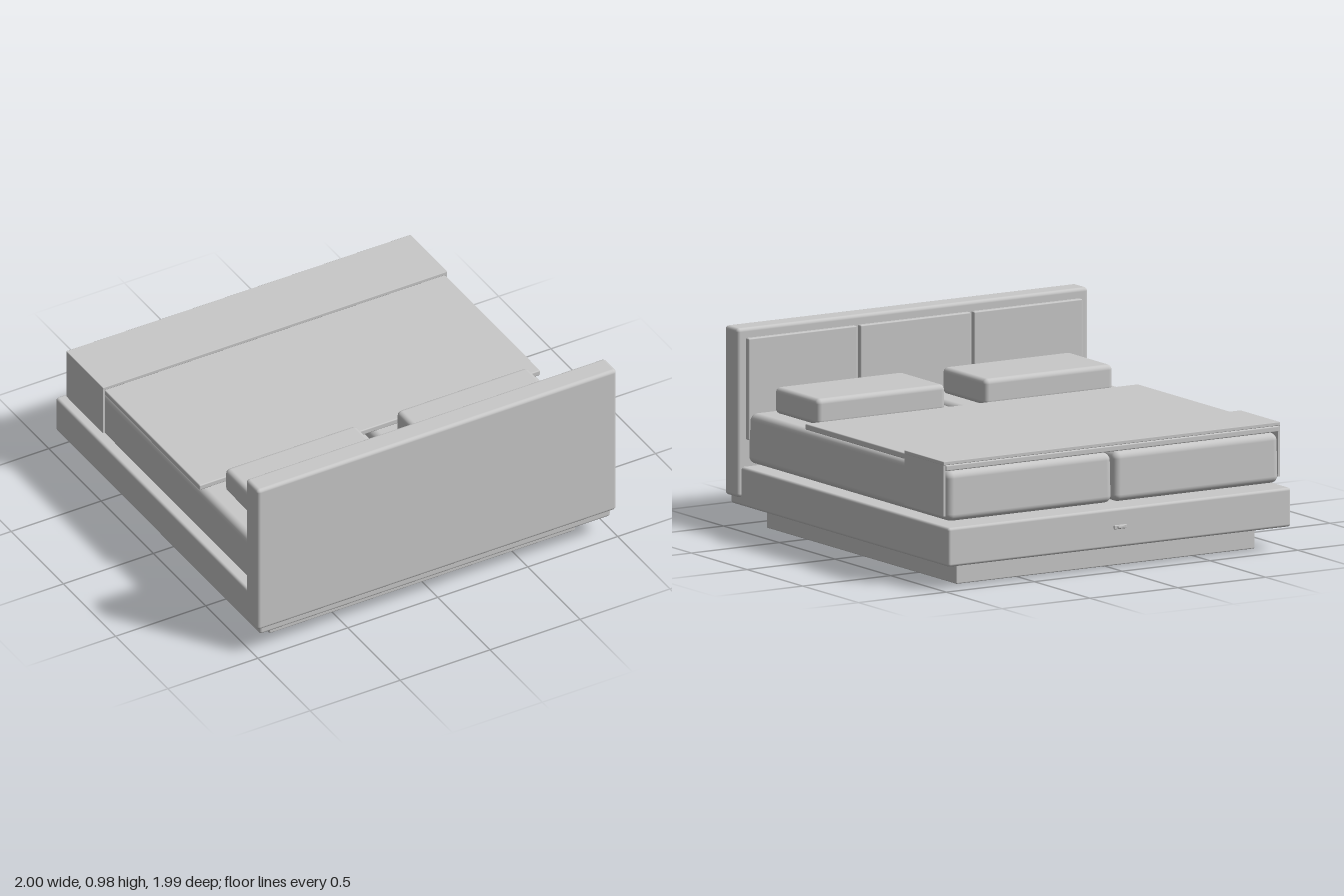
import * as THREE from 'three';
import { RoundedBoxGeometry } from 'three/addons/geometries/RoundedBoxGeometry.js';

const grey = new THREE.MeshStandardMaterial({ color: 0xc8c8c8 });
grey.name = 'plain grey';

// Softly rounded block given by its extents [min, max] on each axis
function block(name, [x0, x1], [y0, y1], [z0, z1], radius, segments = 3) {
  const w = x1 - x0, h = y1 - y0, d = z1 - z0;
  const geometry = radius > 0
    ? new RoundedBoxGeometry(w, h, d, segments, radius)
    : new THREE.BoxGeometry(w, h, d);
  const mesh = new THREE.Mesh(geometry, grey);
  mesh.name = name;
  mesh.position.set((x0 + x1) / 2, (y0 + y1) / 2, (z0 + z1) / 2);
  return mesh;
}

// Draws the upper edge of a cushion inwards, leaving a soft shoulder
function taperTop(mesh, from, inset) {
  const p = mesh.geometry.attributes.position;
  mesh.geometry.computeBoundingBox();
  const top = mesh.geometry.boundingBox.max.y;
  for (let i = 0; i < p.count; i++) {
    const t = THREE.MathUtils.clamp((p.getY(i) - from) / (top - from), 0, 1);
    p.setX(i, p.getX(i) - Math.sign(p.getX(i)) * inset * t);
    p.setZ(i, p.getZ(i) - Math.sign(p.getZ(i)) * inset * t);
  }
  return mesh;
}

export function createModel() {
  const bed = new THREE.Group();
  bed.name = 'bed';

  // Recessed plinth and wide platform
  bed.add(block('plinth', [-0.85, 0.85], [0, 0.13], [-0.853, 0.853], 0.006, 2));
  bed.add(block('platform', [-0.975, 0.975], [0.115, 0.306], [-0.981, 0.977], 0.014));

  // Headboard with three padded panels on the bed side
  bed.add(block('headboard', [-0.998, 0.998], [0.157, 0.984], [0.877, 0.996], 0.018));
  for (const [x0, x1] of [[-0.95, -0.333], [-0.313, 0.313], [0.333, 0.95]]) {
    bed.add(block('headboardPanel', [x0, x1], [0.437, 0.935], [0.852, 0.882], 0.006, 2));
  }

  // Twin mattresses and pillows, mirrored across the middle
  for (const side of [-1, 1]) {
    const span = (a, b) => [side * a, side * b].sort((m, n) => m - n);
    bed.add(taperTop(block('mattress', span(0.004, 0.945), [0.323, 0.568], [-0.927, 0.88], 0.035, 4), 0.06, 0.006));
    bed.add(block('pillow', span(0.112, 0.841), [0.568, 0.698], [0.405, 0.797], 0.025, 4));
    // Hanging side of the bed runner
    bed.add(block('runnerSide', span(0.946, 0.956), [0.35, 0.608], [-0.907, -0.556], 0));
  }

  // Blanket and the runner laid over its foot
  bed.add(block('blanket', [-0.947, 0.947], [0.571, 0.6], [-0.915, 0.352], 0.006, 2));
  bed.add(block('runnerTop', [-0.957, 0.957], [0.6, 0.618], [-0.909, -0.556], 0.003, 1));

  // Small plate on the foot of the platform
  bed.add(block('footPlate', [-0.036, 0.036], [0.205, 0.225], [-0.989, -0.979], 0.004, 2));
  bed.add(block('footPlateBoss', [-0.018, 0.018], [0.209, 0.221], [-0.995, -0.985], 0.003, 2));

  return bed;
}
